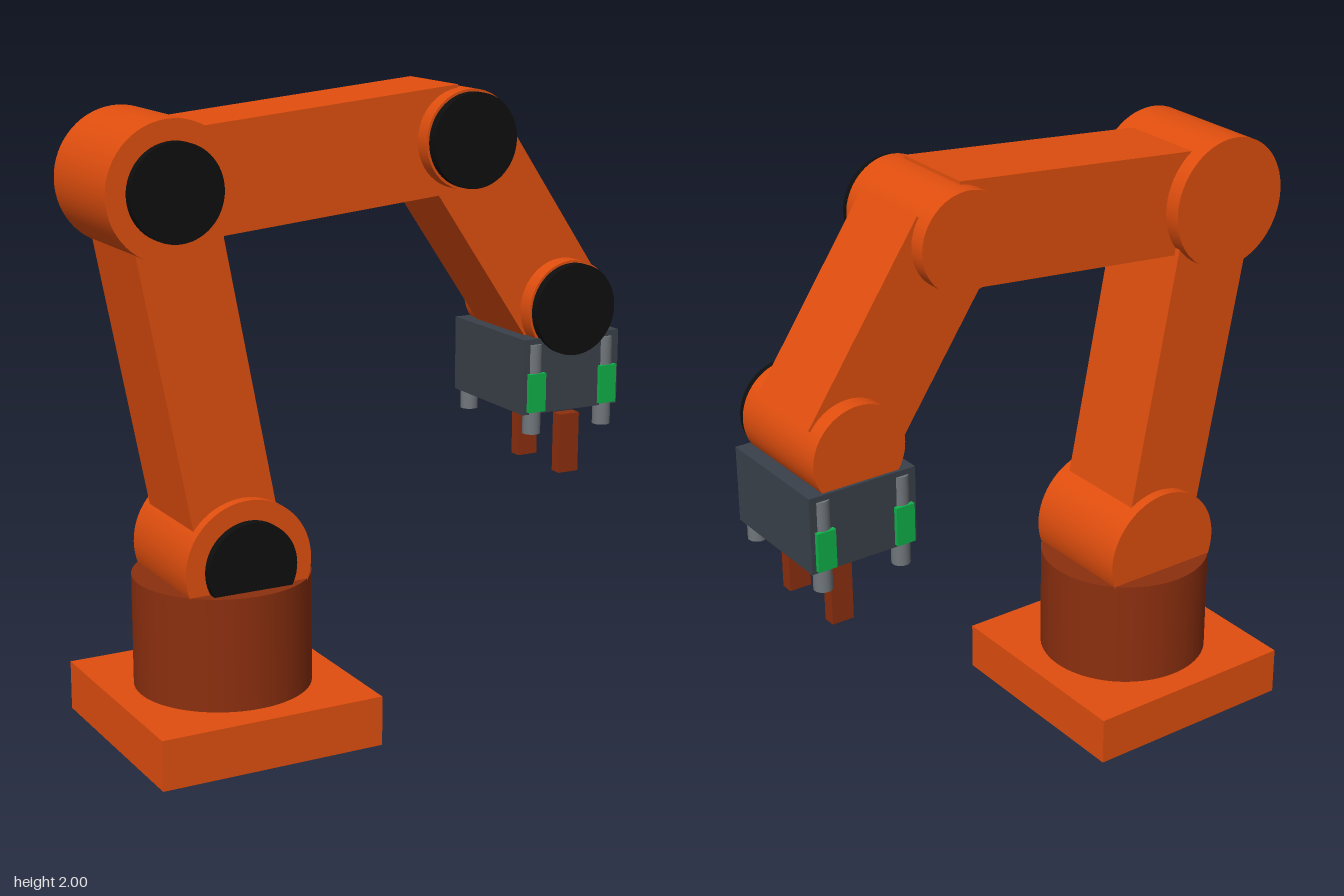
import * as THREE from 'three';

const paint = (name, color) => {
  const m = new THREE.MeshStandardMaterial({ color });
  m.name = name;
  return m;
};

export function createModel() {
  const orange = paint('orange', 0xe04e0e);
  const rust = paint('rust', 0x8c2f0f);
  const black = paint('black', 0x0e0e0e);
  const slate = paint('slate', 0x3a414a);
  const steel = paint('steel', 0x70767b);
  const green = paint('green', 0x10b04a);

  const robot = new THREE.Group();
  robot.name = 'robotArm';

  const add = (name, geometry, material, x, y, z = 0) => {
    const mesh = new THREE.Mesh(geometry, material);
    mesh.name = name;
    mesh.position.set(x, y, z);
    robot.add(mesh);
    return mesh;
  };
  const box = (w, h, d) => new THREE.BoxGeometry(w, h, d);
  const rod = (r, h, sides = 64) => new THREE.CylinderGeometry(r, r, h, sides);

  // Joint drum lying along z, with a black cap on its front end
  const joint = (name, [x, y], r, capR) => {
    add(name, rod(r, 0.4).rotateX(Math.PI / 2), orange, x, y);
    add(name + 'Cap', rod(capR, 0.03).rotateX(Math.PI / 2), black, x, y, 0.215);
  };

  // Straight arm section between two joint centres
  const link = (name, [x1, y1], [x2, y2], width, depth) => {
    const length = Math.hypot(x2 - x1, y2 - y1);
    const mesh = add(name, box(length, width, depth), orange, (x1 + x2) / 2, (y1 + y2) / 2);
    mesh.rotation.z = Math.atan2(y2 - y1, x2 - x1);
  };

  const shoulder = [-0.445, 0.588];
  const elbow = [-0.67, 1.745];
  const forearmPivot = [0.318, 1.835];
  const wrist = [0.7, 1.275];

  // Base plate and turret
  add('basePlate', box(0.738, 0.16, 0.738), orange, -0.446, 0.08);
  add('turret', rod(0.28, 0.36), rust, -0.446, 0.34);

  // Joints and arm sections
  joint('shoulderJoint', shoulder, 0.21, 0.147);
  joint('elbowJoint', elbow, 0.21, 0.147);
  joint('forearmJoint', forearmPivot, 0.155, 0.147);
  joint('wristJoint', wrist, 0.155, 0.147);
  link('lowerArm', shoulder, elbow, 0.28, 0.33);
  link('upperArm', elbow, forearmPivot, 0.33, 0.29);
  link('forearm', forearmPivot, wrist, 0.325, 0.29);

  // Gripper block with a guide rod and green sleeve at each corner
  add('gripperBlock', box(0.36, 0.245, 0.42), slate, 0.7, 1.068);
  for (const sx of [-1, 1]) {
    for (const sz of [-1, 1]) {
      const x = 0.7 + sx * 0.135;
      const z = sz * 0.191;
      add('guideRod', rod(0.029, 0.293, 32), steel, x, 1.026, z);
      add('rodSleeve', box(0.062, 0.125, 0.068), green, x, 1.017, z);
    }
  }

  // Gripper fingers
  for (const sz of [-1, 1]) {
    add('finger', box(0.073, 0.197, 0.042), rust, 0.744, 0.812, sz * 0.123);
  }

  return robot;
}
